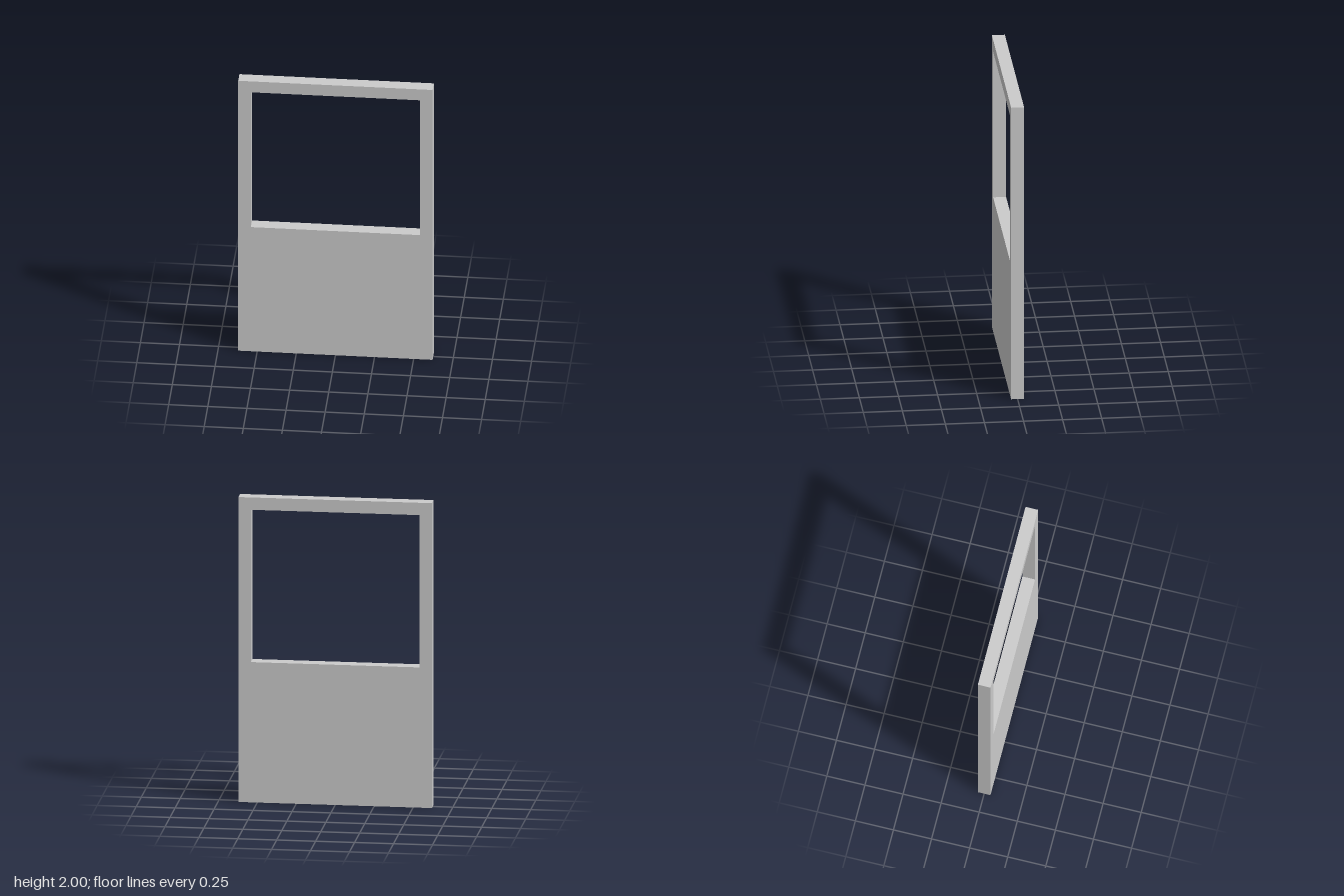
import * as THREE from 'three';

const WIDTH = 1.242, HEIGHT = 2, DEPTH = 0.083;
const RAIL = 0.081, SILL = 0.92;

// Rectangle outline from two opposite corners
function rectangle(Type, x0, y0, x1, y1) {
  return new Type([
    new THREE.Vector2(x0, y0), new THREE.Vector2(x1, y0),
    new THREE.Vector2(x1, y1), new THREE.Vector2(x0, y1),
  ]);
}

export function createModel() {
  const group = new THREE.Group();
  group.name = 'windowPanel';
  const material = new THREE.MeshStandardMaterial({ color: 0xcccccc });

  // Solid panel with a large window opening in its upper half
  const half = WIDTH / 2;
  const outline = rectangle(THREE.Shape, -half, 0, half, HEIGHT);
  outline.holes.push(rectangle(THREE.Path, -half + RAIL, SILL, half - RAIL, HEIGHT - RAIL));

  const geometry = new THREE.ExtrudeGeometry(outline, { depth: DEPTH, bevelEnabled: false });
  geometry.translate(0, 0, -DEPTH / 2);

  const panel = new THREE.Mesh(geometry, material);
  panel.name = 'panelWithOpening';
  group.add(panel);
  return group;
}
